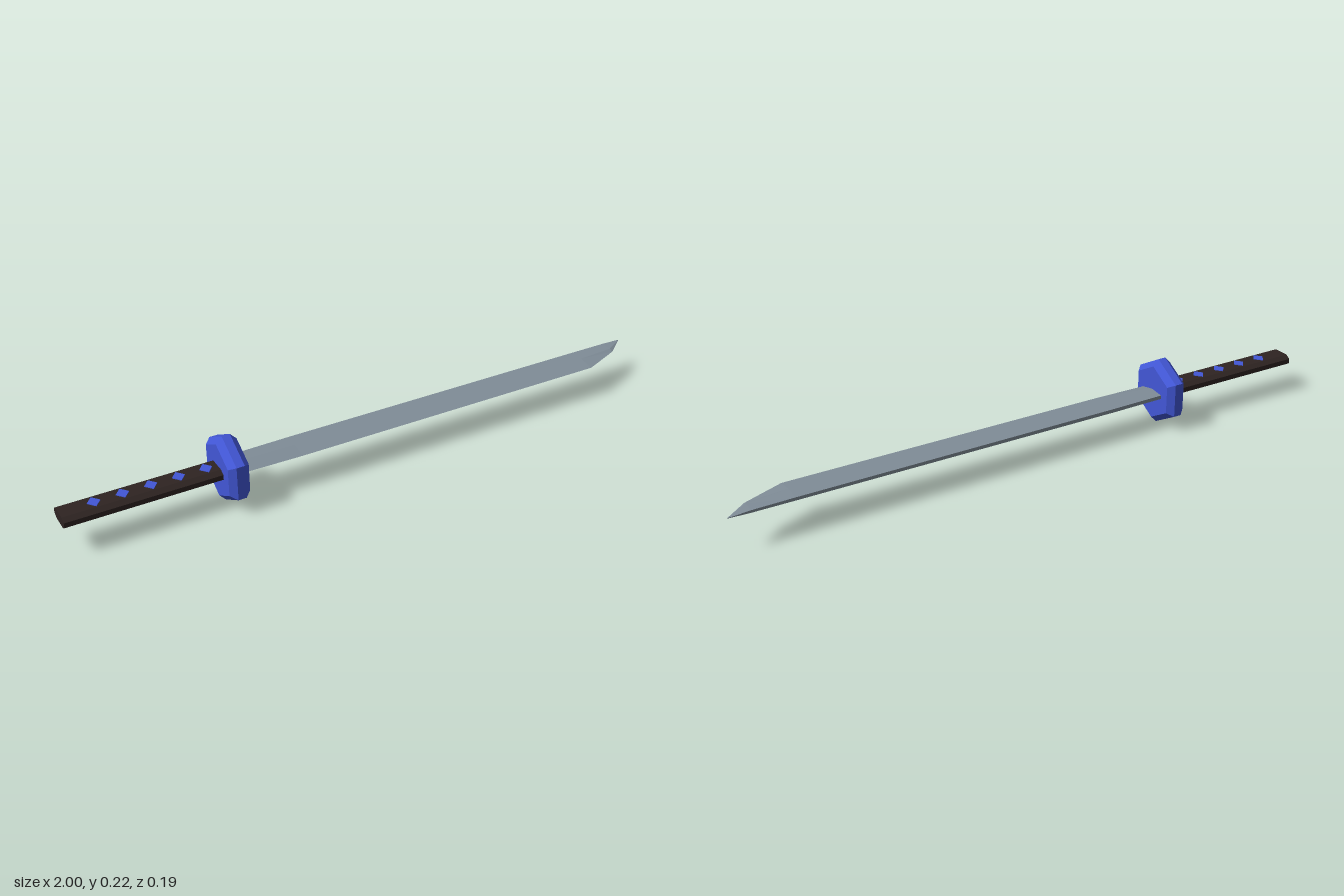
import * as THREE from 'three';

const MID = 0.111; // height of the sword's axis

// Skin convex [y, z] rings (counter-clockwise seen from +x) placed along x, with end caps
function loft(stations) {
  const pos = [];
  const rings = stations.map(([x, ring]) => ring.map(([y, z]) => [x, y, z]));
  const tri = (a, b, c) => pos.push(...a, ...b, ...c);
  const n = rings[0].length;
  for (let s = 0; s < rings.length - 1; s++) {
    const A = rings[s], B = rings[s + 1];
    for (let i = 0; i < n; i++) {
      const j = (i + 1) % n;
      tri(A[i], A[j], B[j]);
      tri(A[i], B[j], B[i]);
    }
  }
  const first = rings[0], last = rings[rings.length - 1];
  for (let i = 1; i < n - 1; i++) {
    tri(first[0], first[i + 1], first[i]);
    tri(last[0], last[i], last[i + 1]);
  }
  const g = new THREE.BufferGeometry();
  g.setAttribute('position', new THREE.Float32BufferAttribute(pos, 3));
  g.computeVertexNormals();
  return g;
}

const hexagon = r => Array.from({ length: 6 }, (_, i) => {
  const a = i * Math.PI / 3;
  return [r * Math.cos(a), r * Math.sin(a)];
});

// Five-sided blade section: blunt spine at -z, ridge, sharp edge at +z
const bladeRing = (zSpine, tSpine, zRidge, tRidge, zEdge) => [
  [tRidge, zRidge], [0, zEdge], [-tRidge, zRidge], [-tSpine, zSpine], [tSpine, zSpine],
];

export function createModel() {
  const model = new THREE.Group();
  const paint = color => new THREE.MeshStandardMaterial({ color, flatShading: true });
  const steel = paint(0x808d98), blue = paint(0x4257d6), wrap = paint(0x2e2422);

  function add(name, geometry, material) {
    const mesh = new THREE.Mesh(geometry, material);
    mesh.name = name;
    mesh.position.y = MID;
    model.add(mesh);
    return mesh;
  }

  // Blade, tapering to a slanted tip
  add('blade', loft([
    [-0.48, bladeRing(-0.048, 0.006, 0, 0.011, 0.05)],
    [-0.27, bladeRing(-0.051, 0.006, 0, 0.009, 0.055)],
    [0.80, bladeRing(-0.052, 0.005, 0, 0.008, 0.055)],
    [0.93, bladeRing(-0.053, 0.004, -0.012, 0.005, 0.002)],
    [1.0, bladeRing(-0.055, 0.0005, -0.0545, 0.0005, -0.054)],
  ]), steel);

  // Chamfered hexagonal guard
  add('guard', loft([
    [-0.522, hexagon(0.09)],
    [-0.502, hexagon(0.111)],
    [-0.476, hexagon(0.111)],
    [-0.456, hexagon(0.09)],
  ]), blue);

  // Flat octagonal grip
  const h = 0.018, w = 0.043;
  const grip = [
    [h, -0.027], [h, 0.027], [0.008, w], [-0.008, w],
    [-h, 0.027], [-h, -0.027], [-0.008, -w], [0.008, -w],
  ];
  add('grip', loft([[-1, grip], [-0.51, grip]]), wrap);

  // Diamond inlays on both faces of the grip
  const diamond = new THREE.CylinderGeometry(1, 1, 0.003, 4);
  diamond.scale(0.02, 1, 0.024);
  for (const side of [1, -1]) {
    for (let i = 0; i < 5; i++) {
      const inlay = add('gripDiamond', diamond, blue);
      inlay.position.set(-0.898 + i * 0.085, MID + side * (h + 0.0005), 0);
    }
  }
  return model;
}
